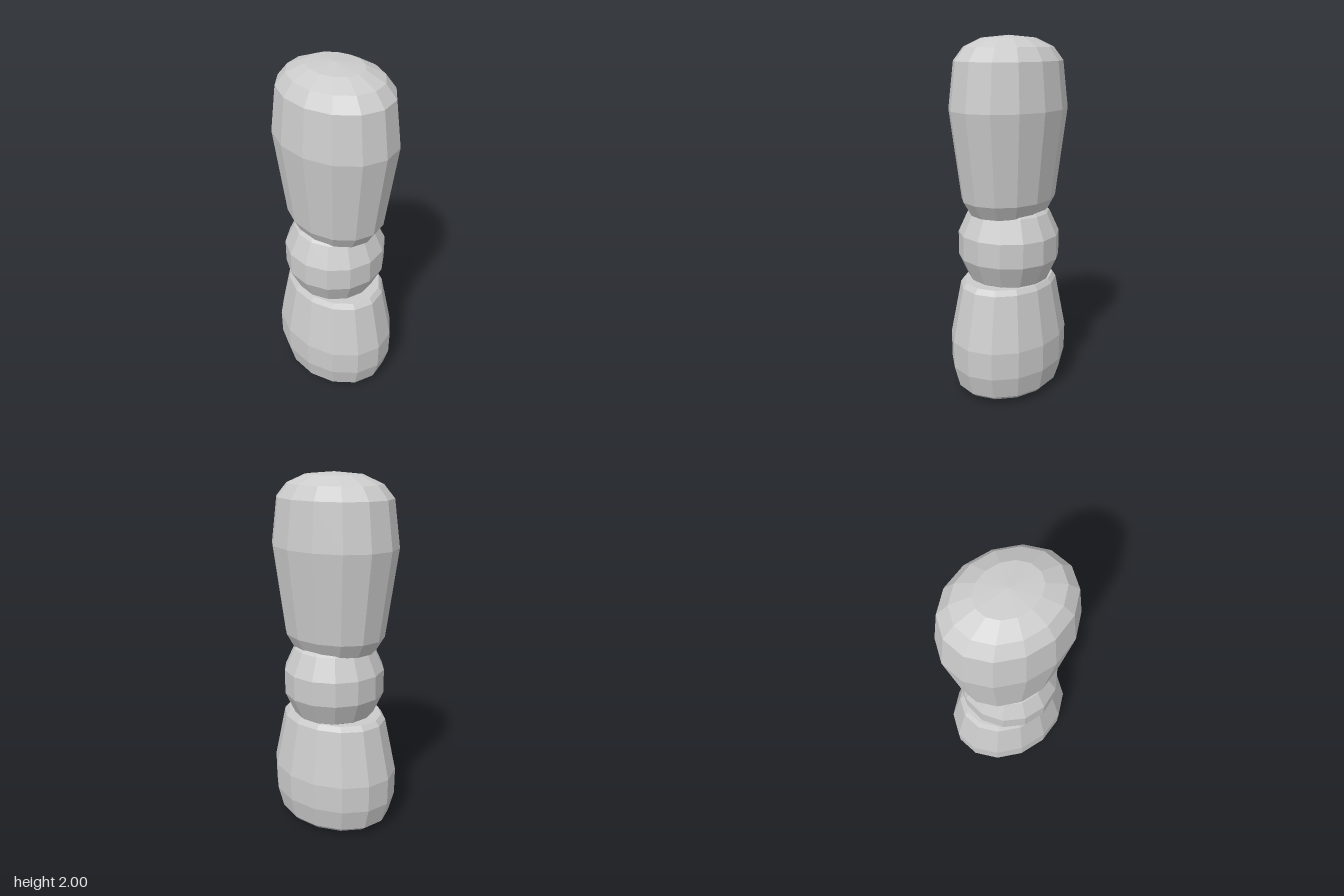
import * as THREE from 'three';

const SIDES = 14;

export function createModel() {
  const group = new THREE.Group();
  const material = new THREE.MeshStandardMaterial({ color: 0xcccccc, flatShading: true });

  const add = (name, geometry) => {
    const mesh = new THREE.Mesh(geometry, material);
    mesh.name = name;
    group.add(mesh);
    return mesh;
  };

  // Oval faceted segment turned from a [radius, height] profile, listed bottom to top
  const ovalSegment = (name, profile) => {
    const points = profile.map(([r, y]) => new THREE.Vector2(r, y));
    const geometry = new THREE.LatheGeometry(points, SIDES, Math.PI / 2);
    geometry.scale(1, 1, 0.8);
    return add(name, geometry);
  };

  // Lower segment, widest near its foot, with a shallow domed underside
  ovalSegment('lowerSegment', [
    [0, 0], [0.315, 0.024], [0.346, 0.05], [0.381, 0.175],
    [0.383, 0.33], [0.314, 0.64], [0.29, 0.668], [0, 0.67],
  ]);

  // Round ball joint, sunk into both segments
  const joint = add('ballJoint', new THREE.SphereGeometry(0.292, SIDES, 7));
  joint.scale.y = 1.05;
  joint.position.y = 0.862;

  // Upper segment, widening upward to a rounded top
  ovalSegment('upperSegment', [
    [0, 1.05], [0.25, 1.05], [0.3, 1.13], [0.37, 1.62],
    [0.336, 1.87], [0.275, 1.94], [0.166, 1.986], [0, 2],
  ]);

  return group;
}
